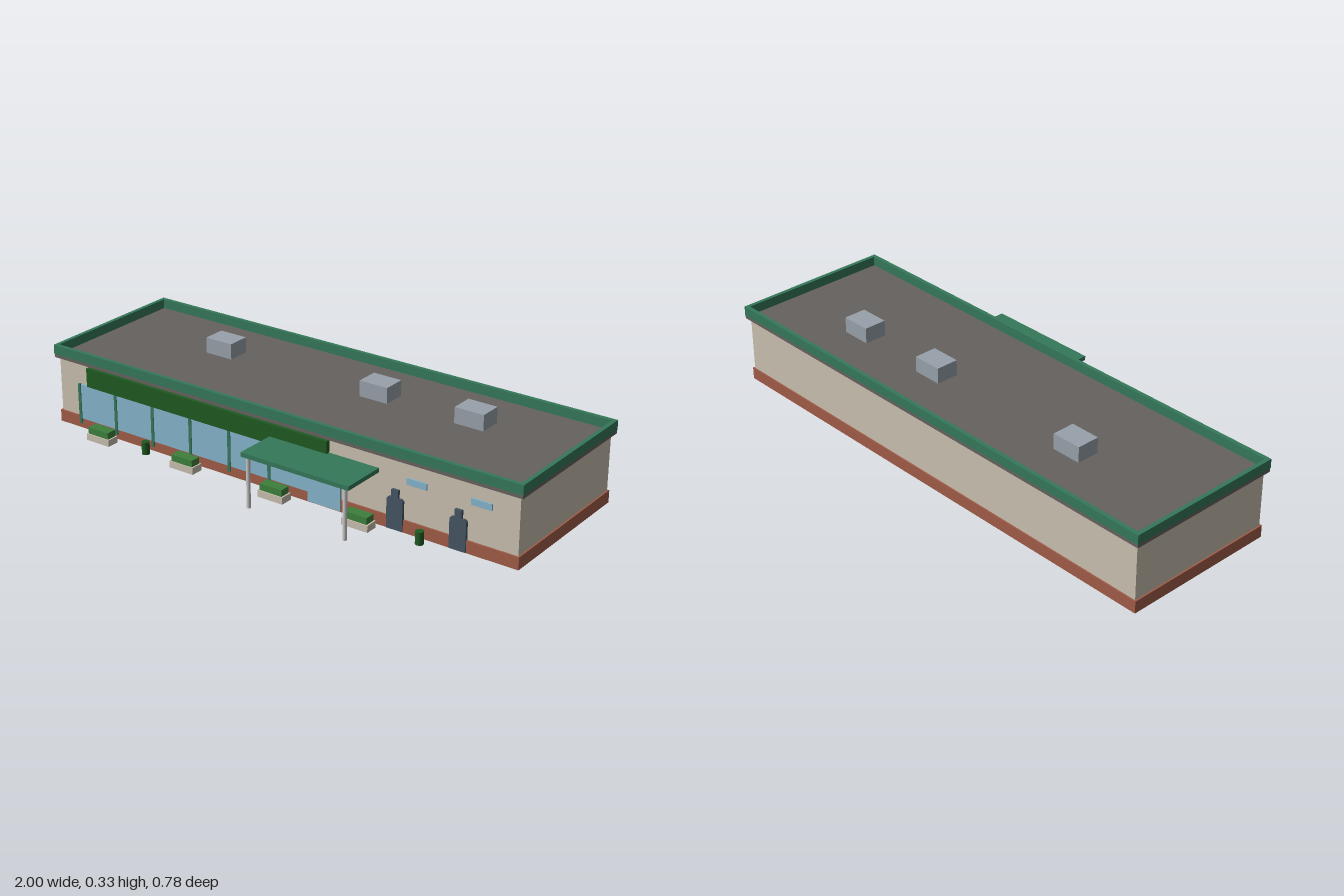
import * as THREE from 'three';

const mat = (name, color) => {
  const m = new THREE.MeshStandardMaterial({ color });
  m.name = name;
  return m;
};

export function createModel() {
  const model = new THREE.Group();
  model.name = 'shopBuilding';
  const wall = mat('beige', 0xc9bfae), brick = mat('brick', 0xa15c47), roof = mat('roofGrey', 0x66625f);
  const trim = mat('trimGreen', 0x35785a), sign = mat('darkGreen', 0x1f5a22), leaf = mat('leafGreen', 0x3d7f3b);
  const glass = mat('glassBlue', 0x84b4cc), metal = mat('ventGrey', 0x98a1aa);
  const post = mat('postGrey', 0xc8c8c8), slate = mat('slate', 0x455463);

  const add = (name, geo, material, x = 0, y = 0, z = 0) => {
    const m = new THREE.Mesh(geo, material);
    m.name = name;
    m.position.set(x, y, z);
    model.add(m);
    return m;
  };
  // Box given by its limits on each axis
  const box = (name, material, x0, x1, y0, y1, z0, z1) =>
    add(name, new THREE.BoxGeometry(x1 - x0, y1 - y0, z1 - z0), material, (x0 + x1) / 2, (y0 + y1) / 2, (z0 + z1) / 2);

  // Shell
  box('brickBase', brick, -0.991, 0.991, 0, 0.046, -0.382, 0.222);
  box('walls', wall, -0.985, 0.985, 0.046, 0.258, -0.377, 0.216);
  box('roofSlab', roof, -0.999, 0.999, 0.258, 0.271, -0.391, 0.23);

  // Parapet ring around the flat roof
  const rect = (P, x, z0, z1) => {
    const p = new P();
    p.moveTo(-x, -z1);
    p.lineTo(x, -z1);
    p.lineTo(x, -z0);
    p.lineTo(-x, -z0);
    p.closePath();
    return p;
  };
  const ring = rect(THREE.Shape, 1, -0.392, 0.231);
  ring.holes.push(rect(THREE.Path, 0.985, -0.377, 0.216));
  const parapet = new THREE.ExtrudeGeometry(ring, { depth: 0.036, bevelEnabled: false });
  parapet.rotateX(-Math.PI / 2);
  add('parapet', parapet, trim, 0, 0.271, 0);

  // Rooftop vents
  for (const x of [-0.495, 0.195, 0.586]) box('roofVent', metal, x - 0.058, x + 0.058, 0.271, 0.331, -0.2, -0.112);

  // Shopfront
  box('signBand', sign, -0.842, 0.243, 0.178, 0.251, 0.216, 0.232);
  box('shopWindow', glass, -0.885, 0.168, 0.038, 0.175, 0.2155, 0.2235);
  for (let i = 0; i < 6; i++) {
    const x = -0.887 + i * 0.176;
    box('mullion', trim, x - 0.006, x + 0.006, 0.018, 0.176, 0.215, 0.2265);
  }
  box('door', glass, 0.158, 0.295, 0.003, 0.131, 0.2155, 0.2252);
  box('doorHeader', trim, 0.15, 0.297, 0.131, 0.139, 0.215, 0.2265);
  for (const x of [0.598, 0.845]) box('highWindow', glass, x - 0.039, x + 0.039, 0.179, 0.203, 0.2155, 0.222);

  // Entrance canopy
  box('canopy', trim, 0.002, 0.446, 0.19, 0.206, 0.217, 0.392);
  for (const x of [0.024, 0.424])
    add('canopyPost', new THREE.CylinderGeometry(0.0075, 0.0075, 0.19, 12), post, x, 0.095, 0.379);

  // Planters with hedges
  for (const x of [-0.742, -0.346, 0.05, 0.403]) {
    box('planter', wall, x - 0.053, x + 0.053, 0, 0.026, 0.246, 0.295);
    box('hedge', leaf, x - 0.047, x + 0.047, 0.026, 0.051, 0.25, 0.291);
  }

  // Round shrubs
  for (const x of [-0.543, 0.637])
    add('shrub', new THREE.CylinderGeometry(0.015, 0.015, 0.048, 12), sign, x, 0.024, 0.257);

  // Bottle-shaped wall panels with chamfered shoulders
  const half = [[0.032, 0.002], [0.032, 0.112], [0.025, 0.119], [0.0135, 0.119], [0.0135, 0.149]];
  const outline = [...half, ...half.map(([x, y]) => [-x, y]).reverse()].map(([x, y]) => new THREE.Vector2(x, y));
  const panel = new THREE.ExtrudeGeometry(new THREE.Shape(outline), { depth: 0.0115, bevelEnabled: false });
  for (const x of [0.516, 0.762]) add('wallPanel', panel, slate, x, 0, 0.215);

  return model;
}
